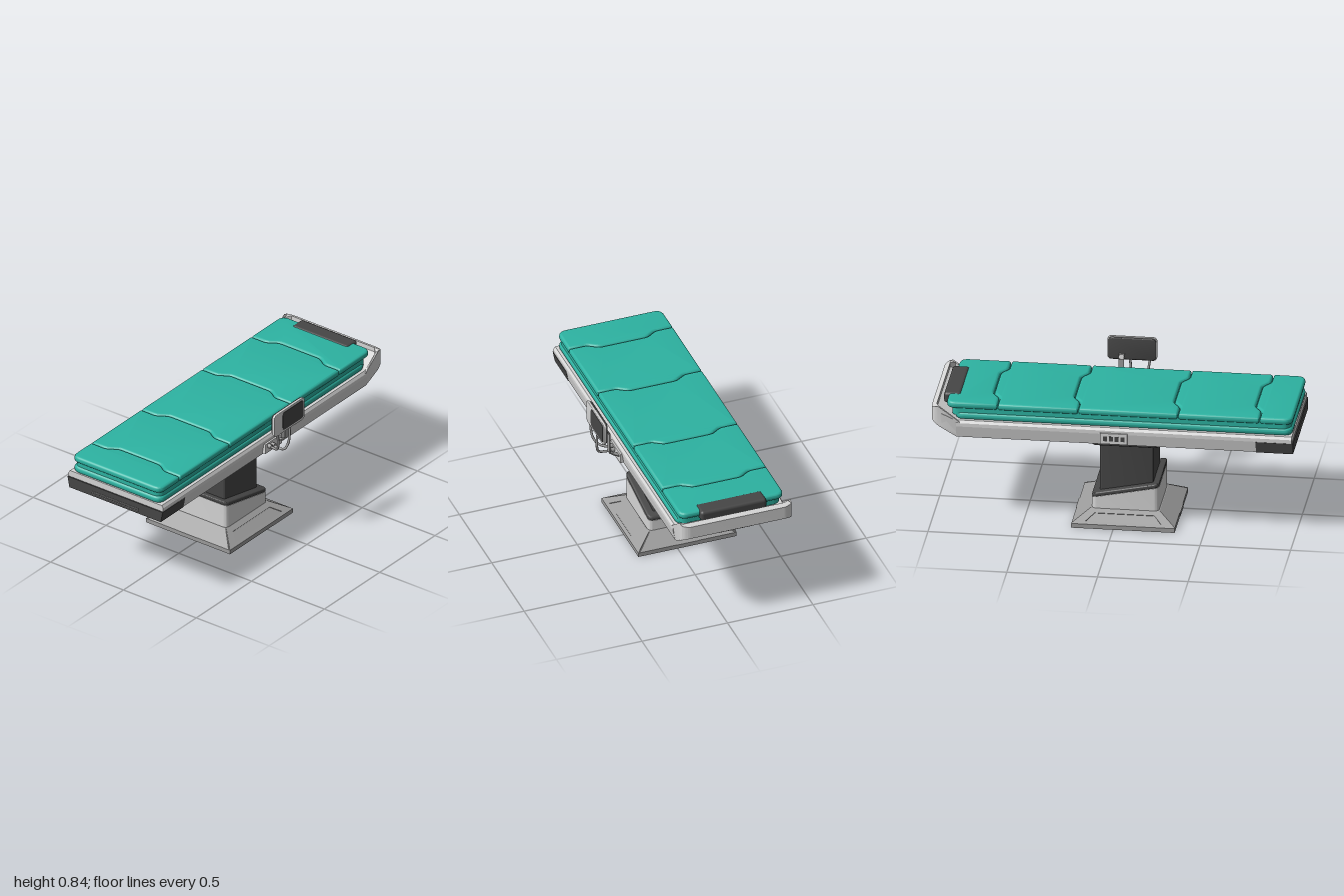
import * as THREE from 'three';
import { toCreasedNormals } from 'three/addons/utils/BufferGeometryUtils.js';
import { RoundedBoxGeometry } from 'three/addons/geometries/RoundedBoxGeometry.js';

const mat = (name, color) => {
  const m = new THREE.MeshStandardMaterial({ color });
  m.name = name;
  return m;
};

export function createModel() {
  const shell = mat('light grey shell', 0xd6d6d6);
  const grey = mat('mid grey', 0x9c9c9c);
  const dark = mat('charcoal', 0x464646);
  const teal = mat('teal upholstery', 0x2db3a2);
  const root = new THREE.Group();
  root.name = 'treatmentTable';
  const CX = -0.06; // centre line of table and pedestal

  const add = (name, geo, material, x = 0, y = 0, z = 0) => {
    const m = new THREE.Mesh(geo, material);
    m.name = name;
    m.position.set(x, y, z);
    root.add(m);
    return m;
  };
  const box = (name, material, x0, x1, y0, y1, z0, z1) =>
    add(name, new THREE.BoxGeometry(x1 - x0, y1 - y0, z1 - z0), material, (x0 + x1) / 2, (y0 + y1) / 2, (z0 + z1) / 2);

  // closed shape from [x, y, cornerRadius] points
  const roundShape = (pts) => {
    const s = new THREE.Shape();
    const v = pts.map((p) => new THREE.Vector2(p[0], p[1]));
    pts.forEach((p, i) => {
      const prev = v[(i + pts.length - 1) % pts.length], next = v[(i + 1) % pts.length], r = p[2] || 0;
      const a = v[i].clone().add(prev.clone().sub(v[i]).setLength(r));
      const b = v[i].clone().add(next.clone().sub(v[i]).setLength(r));
      if (i === 0) s.moveTo(a.x, a.y); else s.lineTo(a.x, a.y);
      if (r) s.quadraticCurveTo(v[i].x, v[i].y, b.x, b.y);
    });
    s.closePath();
    return s;
  };
  const rect = (x0, x1, y0, y1, r) => roundShape([[x0, y0, r], [x1, y0, r], [x1, y1, r], [x0, y1, r]]);

  // upright prism from a plan shape (shape y = -z), with optional bevel
  const prism = (shape, y0, y1, bevel = 0) => {
    const g = new THREE.ExtrudeGeometry(shape, {
      depth: y1 - y0 - 2 * bevel, bevelEnabled: bevel > 0, bevelThickness: bevel,
      bevelSize: bevel, bevelOffset: -bevel, bevelSegments: 5, curveSegments: 8,
    });
    g.rotateX(-Math.PI / 2);
    g.translate(0, y0 + bevel, 0);
    return g;
  };
  const smooth = (g, a = 0.6) => toCreasedNormals(g, a);
  // replace bottom and top heights of a unit-high prism by functions of z
  const reheight = (g, bottom, top, width) => {
    const p = g.attributes.position;
    for (let i = 0; i < p.count; i++) {
      const z = p.getZ(i), y = p.getY(i) < 0.5 ? bottom(z) : top(z);
      p.setY(i, y);
      if (width) p.setX(i, p.getX(i) * width(y));
    }
    return smooth(g);
  };
  const orient = (mesh, yAxis, zAxis) => {
    const Y = yAxis.normalize(), Z = zAxis.normalize();
    mesh.quaternion.setFromRotationMatrix(new THREE.Matrix4().makeBasis(Y.clone().cross(Z), Y, Z));
    return mesh;
  };
  const V = (x, y, z) => new THREE.Vector3(x, y, z);

  // ---- pedestal foot ----
  box('footPlate', grey, -0.345, 0.23, 0, 0.025, -0.23, 0.34);
  const frustum = new THREE.CylinderGeometry(0.19 * Math.SQRT2, 0.285 * Math.SQRT2, 0.058, 4);
  frustum.rotateY(Math.PI / 4);
  frustum.scale(0.975, 1, 1);
  add('footSlope', smooth(frustum, 0.3), grey, -0.0575, 0.054, 0.055);
  for (const s of [1, -1]) {
    const frame = roundShape([[-0.285, 0], [0.285, 0], [0.19, 0.1134], [-0.19, 0.1134]]);
    frame.holes.push(roundShape([[-0.21, 0.02], [-0.165, 0.08], [0.165, 0.08], [0.21, 0.02]]));
    const m = add('footSideFrame', new THREE.ExtrudeGeometry(frame, { depth: 0.006, bevelEnabled: false }), grey,
      -0.0575 + s * 0.2845, 0.02, 0.055);
    orient(m, V(-s * 0.0975, 0.058, 0), V(s * 0.058, 0.0975, 0));
    box('footNotchPad', grey, -0.12, 0.005, 0.002, 0.026, 0.055 + s * 0.284 - 0.004, 0.055 + s * 0.284 + 0.004);
  }

  // ---- pedestal column ----
  const columnPlan = rect(-0.25, 0.13, -0.24, 0.13, 0.03);
  const slant = (h) => (z) => h + (z - 0.24) * 0.2027;
  add('columnSleeve', reheight(prism(columnPlan, 0, 1), () => 0.083, slant(0.221)), shell);
  const band = prism(columnPlan, 0, 0.025, 0.008);
  const bp = band.attributes.position;
  for (let i = 0; i < bp.count; i++) bp.setY(i, bp.getY(i) + slant(0.219)(bp.getZ(i)));
  add('slantedBand', smooth(band), dark);
  add('column', smooth(prism(rect(-0.21, 0.09, -0.205, 0.09, 0.012), 0.15, 0.47)), dark);
  add('upperCollar', smooth(prism(columnPlan, 0.456, 0.494, 0.006)), dark);
  add('collarCap', smooth(prism(rect(-0.247, 0.127, -0.24, 0.128, 0.025), 0.492, 0.522)), shell);

  // ---- table tray ----
  const section = roundShape([[-0.3125, 0.52], [0.3125, 0.52], [0.325, 0.585], [0.325, 0.605],
    [0.315, 0.62], [-0.315, 0.62], [-0.325, 0.605], [-0.325, 0.585]]);
  add('tray', new THREE.ExtrudeGeometry(section, { depth: 1.85, bevelEnabled: false }), shell, CX, 0, -0.86);
  const frontCap = roundShape([[-0.314, 0.518], [0.314, 0.518], [0.3265, 0.583], [-0.3265, 0.583]]);
  add('frontCap', new THREE.ExtrudeGeometry(frontCap, { depth: 0.205, bevelEnabled: false }), dark, CX, 0, 0.792);
  for (const y of [0.534, 0.543, 0.548]) box('frontVentLine', grey, -0.22, 0.1, y - 0.001, y + 0.001, 0.994, 0.999);

  // raised head end: sloped underside, sloped floor and a wrapping rim
  const under = (z) => 0.52 + (-0.86 - z) * 0.643;
  const taper = (y) => (0.3125 + 0.0125 * Math.min(1, (y - 0.52) / 0.065)) / 0.325;
  const head = roundShape([[-0.325, 0.86], [0.325, 0.86], [0.325, 1, 0.06], [-0.325, 1, 0.06]]);
  add('headTray', reheight(prism(head, 0, 1), under, (z) => 0.62 + (-0.86 - z) * 0.45, taper), shell, CX);
  const rim = roundShape([[-0.325, 0.84], [-0.325, 0.96], [-0.32, 0.985, 0.01], [-0.285, 1, 0.015], [0.285, 1, 0.015],
    [0.32, 0.985, 0.01], [0.325, 0.96], [0.325, 0.84], [0.312, 0.84], [0.312, 0.945], [0.285, 0.972], [-0.285, 0.972],
    [-0.312, 0.945], [-0.312, 0.84]]);
  const rimTop = (z) => (z < -0.965 ? 0.7 - (-0.965 - z) * 0.4 : Math.min(0.7, 0.61 + (-0.84 - z) * 0.75));
  add('headRim', reheight(prism(rim, 0, 1), (z) => Math.max(0.53, under(z) + 0.005), rimTop, taper), shell, CX);
  const slot = add('headSlot', new THREE.ExtrudeGeometry(rect(-0.11, 0.11, -0.028, 0.028, 0.027),
    { depth: 0.004, bevelEnabled: false }), dark, CX, under(-0.93), -0.93);
  orient(slot, V(0, 0.09, -0.14), V(0, -0.14, -0.09));

  // ---- mattress ----
  add('lowerMattress', smooth(prism(rect(-0.305, 0.305, -0.99, 0.87, 0.05), 0.618, 0.66, 0.018)), teal, CX);
  add('mattressWaist', smooth(prism(rect(-0.296, 0.296, -0.98, 0.89, 0.05), 0.64, 0.7)), teal, CX);
  // each seam steps toward the head across its middle
  const seam = (z) => [[-0.305, z, 0.012], [-0.2, z, 0.02], [-0.14, z - 0.04, 0.02],
    [0.14, z - 0.04, 0.02], [0.2, z, 0.02], [0.305, z, 0.012]];
  const straight = (z) => [[-0.305, z, 0.05], [0.305, z, 0.05]];
  const seams = [-0.635, -0.19, 0.36, 0.81], gap = 0.002;
  for (let i = 0; i <= seams.length; i++) {
    const back = i === 0 ? straight(-0.917) : seam(seams[i - 1] + gap);
    const front = i === seams.length ? straight(0.99) : seam(seams[i] - gap);
    const plan = roundShape([...back, ...front.reverse()].map(([x, z, r]) => [x, -z, r]));
    add('topCushion', smooth(prism(plan, 0.682, 0.72, 0.015)), teal, CX);
  }
  add('headPad', new RoundedBoxGeometry(0.386, 0.062, 0.096, 4, 0.018), dark, CX, 0.694, -0.897);

  // ---- side brackets ----
  box('leftBracket', shell, 0.255, 0.275, 0.53, 0.588, -0.07, 0.08);
  box('rightBracket', shell, -0.394, -0.375, 0.53, 0.592, -0.065, 0.085);
  for (let i = 0; i < 4; i++) box('socket', dark, -0.396, -0.392, 0.547, 0.575, -0.048 + i * 0.032, -0.026 + i * 0.032);

  // ---- control screen, its arm and cables ----
  const panel = (name, material, z0, z1, y0, y1, x0, x1, r, b) => {
    const g = new THREE.ExtrudeGeometry(rect(-z1, -z0, y0, y1, r), { depth: x1 - x0 - 2 * b, bevelEnabled: b > 0,
      bevelSize: b, bevelOffset: -b, bevelThickness: b, bevelSegments: 3 });
    g.rotateY(Math.PI / 2);
    g.translate(x0 + b, 0, 0);
    return add(name, smooth(g), material);
  };
  panel('screenHousing', shell, -0.125, 0.15, 0.703, 0.84, 0.377, 0.391, 0.025, 0.003);
  panel('screenBack', dark, -0.12, 0.145, 0.708, 0.836, 0.366, 0.38, 0.025, 0.005);
  panel('screenGlass', dark, -0.11, 0.075, 0.718, 0.828, 0.389, 0.393, 0.018, 0);

  const arm = [[0.265, 0.565], [0.3, 0.578], [0.33, 0.6], [0.33, 0.725], [0.346, 0.741], [0.37, 0.741]];
  for (let i = 0; i + 1 < arm.length; i++) {
    const [x0, y0] = arm[i], [x1, y1] = arm[i + 1];
    const strip = add('screenArm', new THREE.BoxGeometry(Math.hypot(x1 - x0, y1 - y0) + 0.005, 0.006, 0.03), grey,
      (x0 + x1) / 2, (y0 + y1) / 2, -0.042);
    strip.rotation.z = Math.atan2(y1 - y0, x1 - x0);
  }
  const cables = [
    [[0.27, 0.57, 0.05], [0.31, 0.57, 0.055], [0.35, 0.585, 0.075], [0.375, 0.625, 0.095], [0.383, 0.71, 0.11]],
    [[0.27, 0.565, 0.02], [0.32, 0.56, 0.025], [0.365, 0.57, 0.025], [0.381, 0.61, 0.01], [0.383, 0.71, 0]],
  ];
  for (const pts of cables) {
    const curve = new THREE.CatmullRomCurve3(pts.map((p) => V(...p)));
    add('cable', new THREE.TubeGeometry(curve, 28, 0.007, 10), grey);
    const plug = add('cablePlug', new THREE.CylinderGeometry(0.012, 0.012, 0.025, 14), grey, 0.285, pts[0][1], pts[0][2]);
    plug.rotation.z = Math.PI / 2;
  }
  return root;
}
